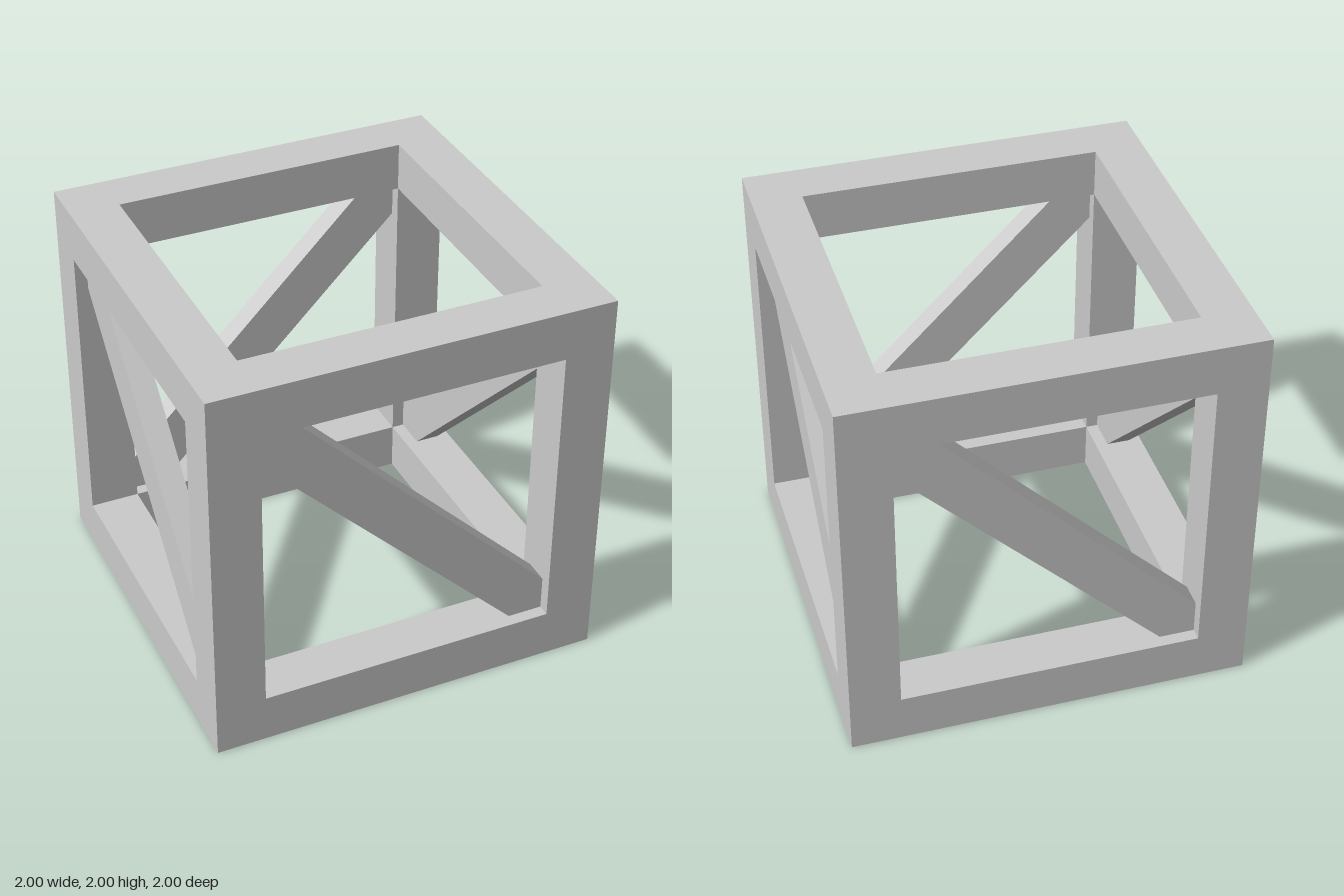
import * as THREE from 'three';

const SIZE = 2, BAR = 0.25, OPEN = SIZE - 2 * BAR;
const BRACE_WIDTH = 0.25, BRACE_DEPTH = 0.125;

export function createModel() {
  const model = new THREE.Group();
  model.name = 'crateFrame';
  const material = new THREE.MeshStandardMaterial({ color: 0xcccccc, flatShading: true });

  const add = (parent, name, geometry, x, y, z) => {
    const mesh = new THREE.Mesh(geometry, material);
    mesh.name = name;
    mesh.position.set(x, y, z);
    parent.add(mesh);
  };

  const post = new THREE.BoxGeometry(BAR, SIZE, BAR);
  const rail = new THREE.BoxGeometry(OPEN, BAR, BAR);

  // Diagonal brace, its ends cut square into the corners of the opening
  const h = OPEN / 2, c = BRACE_WIDTH / Math.SQRT2;
  const outline = new THREE.Shape([
    [-h, h], [-h, h - c], [h - c, -h], [h, -h], [h, c - h], [c - h, h],
  ].map(([x, y]) => new THREE.Vector2(x, y)));
  const brace = new THREE.ExtrudeGeometry(outline, { depth: BRACE_DEPTH, bevelEnabled: false });
  brace.translate(0, 0, -BRACE_DEPTH / 2);

  // Each side has one post, a bottom and a top rail, and a brace centred in the bar depth
  const edge = (SIZE - BAR) / 2;
  ['front', 'left', 'back', 'right'].forEach((name, i) => {
    const side = new THREE.Group();
    side.name = name + 'Side';
    side.rotation.y = i * Math.PI / 2;
    add(side, name + 'Post', post, edge, SIZE / 2, edge);
    add(side, name + 'BottomRail', rail, 0, BAR / 2, edge);
    add(side, name + 'TopRail', rail, 0, SIZE - BAR / 2, edge);
    add(side, name + 'Brace', brace, 0, SIZE / 2, edge);
    model.add(side);
  });

  return model;
}
